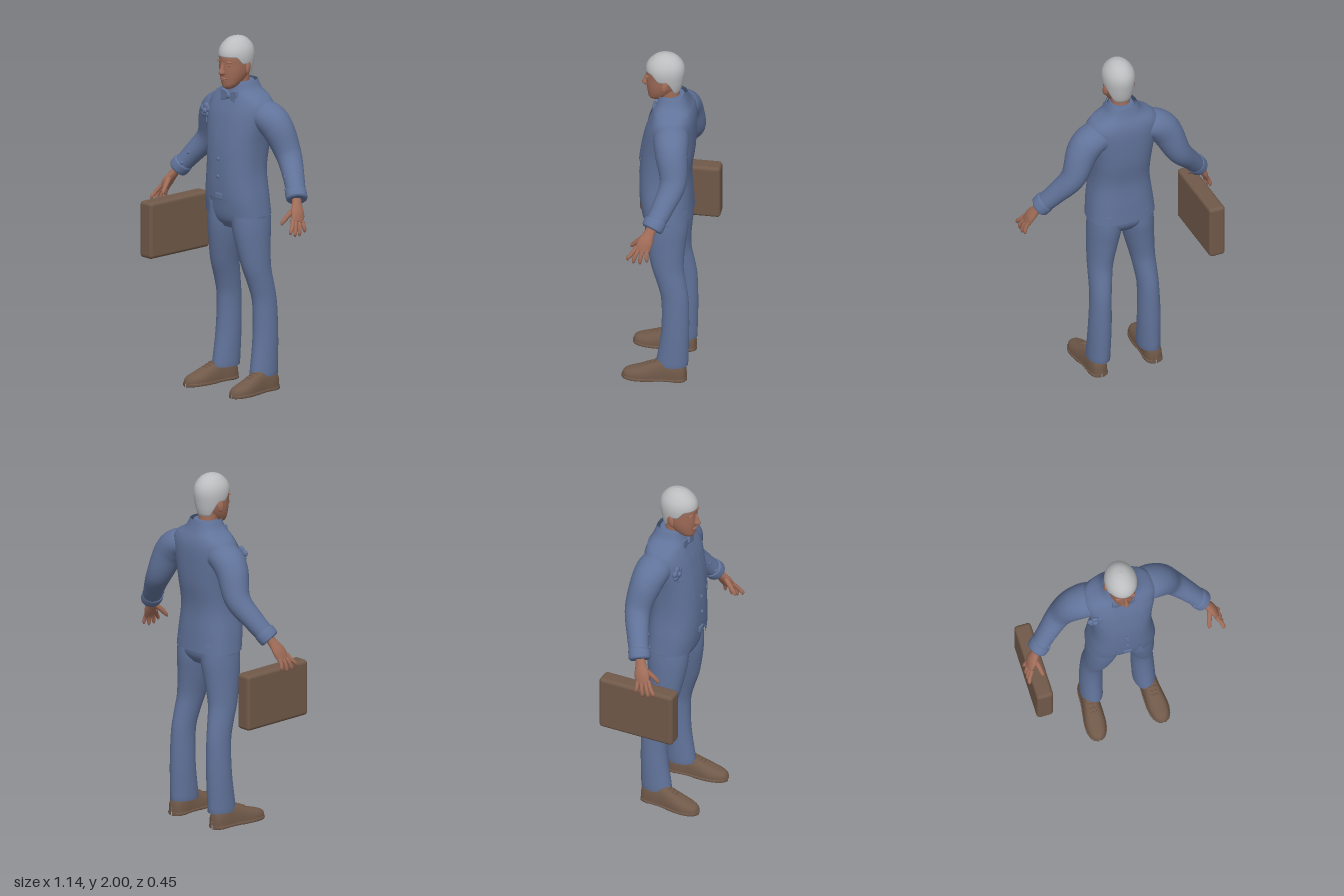
import * as THREE from 'three';
import { mergeVertices } from 'three/addons/utils/BufferGeometryUtils.js';
import { RoundedBoxGeometry } from 'three/addons/geometries/RoundedBoxGeometry.js';

const mat = (name, color, side = THREE.FrontSide) =>
  Object.assign(new THREE.MeshStandardMaterial({ color, side }), { name });

// Smooth interpolation of rows sorted by their first value
function at(keys, t) {
  let i = 0;
  while (i < keys.length - 2 && t > keys[i + 1][0]) i++;
  const a = keys[i], b = keys[i + 1], h = b[0] - a[0];
  const s = THREE.MathUtils.clamp((t - a[0]) / h, 0, 1);
  const p = keys[i - 1] || a, n = keys[i + 2] || b;
  return a.map((_, k) => {
    const m0 = (b[k] - p[k]) / (b[0] - p[0]) * h, m1 = (n[k] - a[k]) / (n[0] - a[0]) * h;
    const s2 = s * s, s3 = s2 * s;
    return (2 * s3 - 3 * s2 + 1) * a[k] + (s3 - 2 * s2 + s) * m0 + (3 * s2 - 2 * s3) * b[k] + (s3 - s2) * m1;
  });
}

// Smooth surface through a grid of points f(i, j)
function grid(nu, nv, f) {
  const pos = [], idx = [];
  for (let j = 0; j <= nv; j++) for (let i = 0; i <= nu; i++) pos.push(...f(i, j));
  for (let j = 0; j < nv; j++) for (let i = 0; i < nu; i++) {
    const a = j * (nu + 1) + i, c = a + nu + 1;
    idx.push(a, a + 1, c + 1, a, c + 1, c);
  }
  let g = new THREE.BufferGeometry();
  g.setAttribute('position', new THREE.Float32BufferAttribute(pos, 3));
  g.setIndex(idx);
  g = mergeVertices(g, 1e-5);
  g.computeVertexNormals();
  return g;
}

const pw = (v, e) => Math.sign(v) * Math.abs(v) ** e;

// Upright body from rows [y, cx, cz, rx, rz, front gap]
function loft(keys, { n = 20, seg = 40, e = 1, cap = true, grow = 0 } = {}) {
  const y0 = keys[0][0], y1 = keys[keys.length - 1][0], st = [];
  for (let j = 0; j <= n; j++) st.push([y0 + (y1 - y0) * j / n, 1]);
  if (cap) { st.unshift([y0, 0], [y0, 0.95]); st.push([y1, 0.95], [y1, 0]); }
  return grid(seg, st.length - 1, (i, j) => {
    const [y, s] = st[j], [, cx, cz, rx, rz, gap = 0] = at(keys, y);
    const t0 = gap ? Math.asin(Math.min(1, gap / rx) ** (1 / e)) : 0;
    const th = t0 + (2 * Math.PI - 2 * t0) * i / seg;
    return [cx + s * (rx + grow) * pw(Math.sin(th), e), y, cz + s * (rz + grow) * pw(Math.cos(th), e)];
  });
}

// Tapered limb through points [x, y, z, width radius, depth radius]
function limb(pts, n = 20, seg = 20) {
  const curve = new THREE.CatmullRomCurve3(pts.map(p => new THREE.Vector3(p[0], p[1], p[2])));
  const rad = pts.map((p, i) => [i / (pts.length - 1), p[3], p[4] ?? p[3]]);
  const st = [[0, 0], [0, 0.9]];
  for (let j = 0; j <= n; j++) st.push([j / n, 1]);
  st.push([1, 0.9], [1, 0]);
  return grid(seg, st.length - 1, (i, j) => {
    const [t, s] = st[j], [, ru, rv] = at(rad, t), th = 2 * Math.PI * i / seg;
    const T = curve.getTangent(t), B = new THREE.Vector3(0, 0, 1);
    B.addScaledVector(T, -B.dot(T)).normalize();
    const A = new THREE.Vector3().crossVectors(B, T);
    return curve.getPoint(t).addScaledVector(A, s * ru * Math.cos(th))
      .addScaledVector(B, s * rv * Math.sin(th)).toArray();
  });
}

function ball(x, y, z, rx, ry, rz) {
  return new THREE.SphereGeometry(1, 20, 14).scale(rx, ry, rz).translate(x, y, z);
}

function mirrored(geo) {
  const g = geo.clone().scale(-1, 1, 1), ix = g.index.array;
  for (let i = 0; i < ix.length; i += 3) [ix[i], ix[i + 1]] = [ix[i + 1], ix[i]];
  return g;
}

const E = 0.8;
const JACKET = [
  [1.0, 0, -0.015, 0.195, 0.14, 0.1], [1.1, 0, -0.005, 0.185, 0.145, 0.078],
  [1.25, 0, 0, 0.168, 0.143, 0.07], [1.4, 0, -0.015, 0.175, 0.147, 0.072],
  [1.55, 0, -0.033, 0.2, 0.134, 0.07], [1.62, 0, -0.043, 0.205, 0.119, 0.065],
  [1.66, 0, -0.045, 0.175, 0.104, 0.058], [1.70, 0, -0.042, 0.105, 0.088, 0.045],
  [1.745, 0, -0.04, 0.074, 0.072, 0.04]];

// Height of the chest surface at x, y
function front(x, y) {
  const [, , cz, rx, rz] = at(JACKET, y);
  return cz + rz * Math.max(0, 1 - Math.min(1, Math.abs(x) / rx) ** (2 / E)) ** (E / 2);
}

// Thin cloth laid on the chest, rows [y, inner x, outer x] rising in y
const panel = (rows, off) => grid(8, 24, (i, j) => {
  const y = rows[0][0] + (rows[rows.length - 1][0] - rows[0][0]) * j / 24;
  let k = 0;
  while (k < rows.length - 2 && y > rows[k + 1][0]) k++;
  const a = rows[k], b = rows[k + 1], s = (y - a[0]) / (b[0] - a[0]);
  const x = THREE.MathUtils.lerp(a[1] + (b[1] - a[1]) * s, a[2] + (b[2] - a[2]) * s, i / 8);
  return [x, y, front(x, y) + off];
});

export function createModel() {
  const model = new THREE.Group();
  model.name = 'suitedMan';
  const suit = mat('suit blue', 0x61739a, THREE.DoubleSide);
  const skin = mat('skin', 0xa06c58);
  const hair = mat('grey hair', 0xbcbdbf, THREE.DoubleSide);
  const leather = mat('brown leather', 0x705949);
  const add = (name, geo, m) => {
    const mesh = new THREE.Mesh(geo, m);
    mesh.name = name;
    model.add(mesh);
    return mesh;
  };
  const pair = (name, geo, m) => { add(name + 'Left', geo, m); add(name + 'Right', mirrored(geo), m); };

  // Trousers
  pair('trouserLeg', loft([
    [0.09, 0.152, -0.06, 0.063, 0.09], [0.3, 0.148, -0.077, 0.063, 0.078], [0.5, 0.143, -0.075, 0.059, 0.076],
    [0.6, 0.136, -0.055, 0.063, 0.081], [0.7, 0.126, -0.03, 0.07, 0.09], [0.85, 0.106, -0.02, 0.087, 0.11],
    [0.94, 0.096, -0.02, 0.094, 0.121], [1.06, 0.09, -0.02, 0.088, 0.12]], { n: 32 }), suit);
  add('trouserHips', loft([[0.92, 0, -0.02, 0.12, 0.085], [0.97, 0, -0.02, 0.182, 0.12],
    [1.08, 0, -0.015, 0.175, 0.132], [1.16, 0, -0.01, 0.165, 0.135]], { e: 0.9 }), suit);

  // Shirt body, jacket shell and collar
  add('shirtBody', loft(JACKET.slice(1).map(k => k.slice(0, 5)), { n: 36, e: E, grow: -0.011 }), suit);
  add('jacket', loft(JACKET, { n: 44, seg: 56, e: E, cap: false }), suit);
  add('jacketCollar', loft([[1.665, 0, -0.045, 0.165, 0.102, 0.075], [1.70, 0, -0.042, 0.106, 0.088, 0.06],
    [1.75, 0, -0.04, 0.076, 0.073, 0.05]], { n: 8, e: E, cap: false, grow: 0.006 }), suit);
  add('shirtCollar', loft([[1.67, 0, -0.025, 0.072, 0.076], [1.735, 0, -0.027, 0.058, 0.058]], { n: 4, cap: false }), suit);
  pair('lapel', panel([[1.32, 0.072, 0.078], [1.4, 0.071, 0.108], [1.5, 0.069, 0.142], [1.585, 0.067, 0.168],
    [1.62, 0.062, 0.128], [1.7, 0.045, 0.082]], 0.007), suit);

  // Waistcoat, tie and belt
  pair('waistcoat', panel([[1.125, 0.035, 0.05], [1.165, 0.002, 0.085], [1.36, 0.002, 0.085],
    [1.62, 0.045, 0.08]], -0.003), suit);
  add('tie', panel([[1.35, -0.012, 0.012], [1.42, -0.026, 0.026], [1.64, -0.013, 0.013]], -0.006), suit);
  for (const y of [1.22, 1.32]) add('waistcoatButton', ball(0, y, front(0, y), 0.011, 0.011, 0.007), suit);
  add('belt', panel([[1.095, -0.085, 0.085], [1.12, -0.085, 0.085]], -0.006), suit);
  add('beltBuckle', new RoundedBoxGeometry(0.05, 0.034, 0.012, 2, 0.005).translate(0, 1.108, front(0, 1.108) - 0.003), suit);

  // Bow tie
  const bow = new THREE.Shape();
  bow.moveTo(0, 0.01);
  bow.quadraticCurveTo(0.03, 0.03, 0.06, 0.03);
  bow.quadraticCurveTo(0.068, 0, 0.06, -0.03);
  bow.quadraticCurveTo(0.03, -0.026, 0, -0.01);
  bow.quadraticCurveTo(-0.03, -0.026, -0.06, -0.03);
  bow.quadraticCurveTo(-0.068, 0, -0.06, 0.03);
  bow.quadraticCurveTo(-0.03, 0.03, 0, 0.01);
  add('bowTie', new THREE.ExtrudeGeometry(bow, { depth: 0.01, bevelSize: 0.003, bevelThickness: 0.004, bevelSegments: 2 })
    .translate(0, 1.665, 0.05), suit);
  add('bowKnot', ball(0, 1.665, 0.06, 0.016, 0.017, 0.012), suit);

  // Flower on the chest
  const fz = front(0.165, 1.55) + 0.015;
  for (let i = 0; i < 5; i++) {
    const a = i * Math.PI * 0.4 + 0.3;
    add('flowerPetal', ball(-0.168 + 0.026 * Math.cos(a), 1.555 + 0.024 * Math.sin(a), fz, 0.022, 0.02, 0.013), suit);
  }
  add('flowerCentre', ball(-0.168, 1.555, fz + 0.01, 0.017, 0.017, 0.014), suit);
  add('flowerStem', limb([[-0.17, 1.54, fz - 0.004, 0.006], [-0.16, 1.49, fz + 0.005, 0.004]], 4, 8), suit);

  // Sleeves, cuffs and cuff buttons
  pair('sleeve', limb([[0.12, 1.565, -0.055, 0.078, 0.09], [0.185, 1.56, -0.06, 0.086, 0.098],
    [0.245, 1.51, -0.072, 0.09, 0.092], [0.318, 1.36, -0.094, 0.07, 0.074], [0.4, 1.255, -0.055, 0.056, 0.062],
    [0.475, 1.16, -0.008, 0.048, 0.054]], 40, 28), suit);
  pair('cuff', limb([[0.447, 1.196, -0.022, 0.047, 0.054], [0.452, 1.19, -0.02, 0.056, 0.062],
    [0.478, 1.156, -0.006, 0.055, 0.061], [0.483, 1.15, -0.003, 0.047, 0.053]], 10, 28), suit);
  pair('cuffButtonUpper', ball(0.388, 1.262, 0.0, 0.011, 0.011, 0.009), suit);
  pair('cuffButtonLower', ball(0.42, 1.2, 0.022, 0.011, 0.011, 0.009), suit);

  // Hands
  pair('palm', limb([[0.465, 1.175, -0.012, 0.024, 0.028], [0.493, 1.13, 0.008, 0.022, 0.03],
    [0.52, 1.085, 0.028, 0.021, 0.043], [0.54, 1.04, 0.042, 0.014, 0.04]], 14), skin);
  [[0.074, 0.118, 0.985], [0.053, 0.085, 0.97], [0.03, 0.05, 0.967], [0.01, 0.012, 0.982]].forEach(([z0, z1, y], i) =>
    pair('finger' + (i + 1), limb([[0.53, 1.06, z0, 0.011], [0.553, 1.02, (z0 + z1) / 2 + 0.004, 0.0115],
      [0.56, y + 0.014, z1, 0.01], [0.558, y, z1, 0.004]], 10, 12), skin));
  pair('thumb', limb([[0.505, 1.11, 0.035, 0.015], [0.49, 1.072, 0.075, 0.014],
    [0.481, 1.038, 0.105, 0.011], [0.478, 1.024, 0.113, 0.004]], 10, 12), skin);

  // Neck, head and face
  add('neck', limb([[0, 1.62, -0.035, 0.056, 0.056], [0, 1.72, -0.025, 0.053, 0.054], [0, 1.82, -0.015, 0.055, 0.06]], 8), skin);
  add('head', loft([[1.708, 0, 0.06, 0.018, 0.022], [1.722, 0, 0.053, 0.038, 0.042], [1.755, 0, 0.034, 0.058, 0.067],
    [1.8, 0, 0.018, 0.072, 0.088], [1.85, 0, 0.01, 0.078, 0.097], [1.9, 0, 0.006, 0.08, 0.1],
    [1.955, 0, 0, 0.06, 0.075]], { n: 28, e: 0.94 }), skin);
  add('nose', loft([[1.79, 0, 0.108, 0.01, 0.01], [1.802, 0, 0.11, 0.018, 0.024], [1.82, 0, 0.106, 0.012, 0.022],
    [1.862, 0, 0.098, 0.008, 0.012]], { n: 10, seg: 16 }), skin);
  add('upperLip', ball(0, 1.771, 0.099, 0.026, 0.006, 0.01), skin);
  add('lowerLip', ball(0, 1.761, 0.096, 0.021, 0.006, 0.01), skin);
  add('chin', ball(0, 1.729, 0.082, 0.022, 0.016, 0.016), skin);
  pair('eye', ball(0.032, 1.846, 0.091, 0.014, 0.006, 0.008), skin);
  pair('brow', ball(0.034, 1.866, 0.094, 0.024, 0.006, 0.011).rotateZ(0), skin);
  pair('ear', ball(0, 0, 0, 0.011, 0.036, 0.02).rotateX(-0.2).rotateY(0.3).translate(0.083, 1.828, -0.008), skin);

  // Hair cap with a hairline that drops towards the nape
  const HAIR = [[1.76, -0.018, 0.058, 0.06], [1.8, -0.008, 0.074, 0.083], [1.85, 0.001, 0.086, 0.102],
    [1.9, 0.003, 0.09, 0.109], [1.94, 0.002, 0.081, 0.099], [1.975, 0, 0.057, 0.07], [1.992, 0, 0.032, 0.04], [2.0, 0, 0.001, 0.001]];
  add('hair', grid(56, 29, (i, j) => {
    const th = 2 * Math.PI * i / 56, d = Math.min(th, 2 * Math.PI - th), S = THREE.MathUtils.smoothstep;
    const low = 1.893 - 0.043 * S(d, 0.9, 1.35) - 0.082 * S(d, 1.75, 2.3);
    const t = Math.max(0, j - 1) / 28, y = low + (2 - low) * (1 - (1 - t) ** 1.8);
    const [, cz, rx, rz] = at(HAIR, y), s = j ? 1 : 0.86;
    return [s * rx * Math.sin(th), y, cz + s * rz * Math.cos(th)];
  }), hair);

  // Shoes and soles, rows [z, cx, half width, height]
  const SHOE = [[-0.146, 0.165, 0.003, 0.05], [-0.135, 0.165, 0.034, 0.095], [-0.09, 0.166, 0.05, 0.13],
    [-0.02, 0.17, 0.05, 0.13], [0.05, 0.175, 0.055, 0.105], [0.12, 0.18, 0.058, 0.077],
    [0.175, 0.183, 0.047, 0.06], [0.204, 0.184, 0.027, 0.045], [0.215, 0.184, 0.003, 0.02]];
  const shoe = (grow, flat) => grid(28, 36, (i, j) => {
    const z = -0.146 + 0.361 * (1 - Math.cos(Math.PI * j / 36)) / 2, th = 2 * Math.PI * i / 28;
    const [, cx, w, h] = at(SHOE, z), c = Math.cos(th), s = Math.sin(th);
    const arch = flat && z > -0.07 && z < 0.02 ? 0.008 : 0;
    return [cx + (w + grow) * pw(c, flat ? 0.5 : 0.75), s > 0 ? 0.012 + ((flat ?? h) - 0.012) * pw(s, flat ? 0.4 : 0.8)
      : 0.012 + (arch - 0.012) * pw(-s, 0.4), z];
  });
  pair('shoe', shoe(0), leather);
  pair('sole', shoe(0.004, 0.022), leather);
  for (let i = 0; i < 3; i++) {
    const z = 0.03 + i * 0.022, [, cx, , h] = at(SHOE, z);
    pair('shoeLace' + (i + 1), ball(cx, h - 0.001, z, 0.022, 0.006, 0.005), leather);
  }

  // Briefcase
  add('briefcase', new RoundedBoxGeometry(0.095, 0.32, 0.45, 4, 0.02).translate(-0.5, 0.836, 0), leather);

  return model;
}
